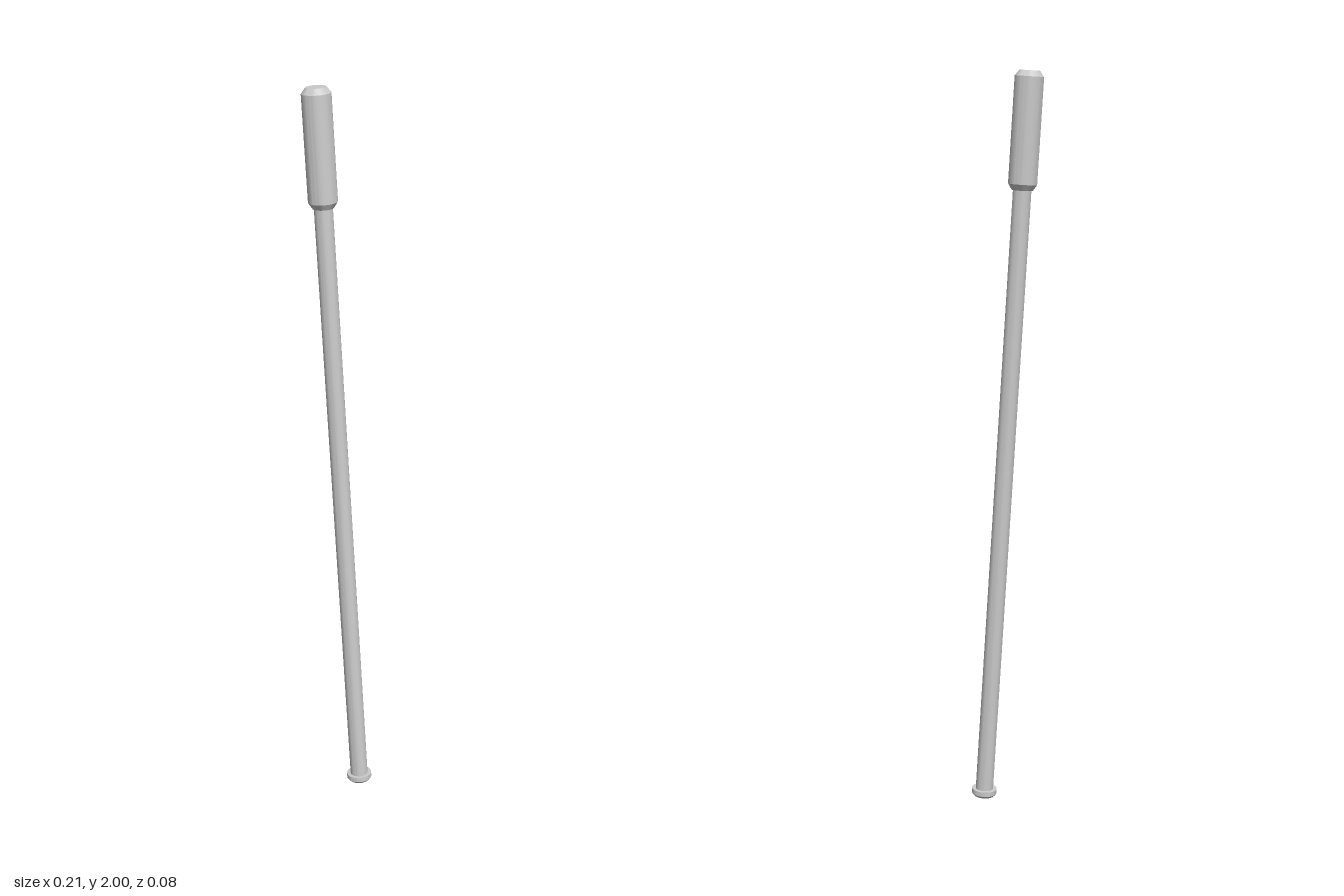
import * as THREE from 'three';
import { toCreasedNormals } from 'three/addons/utils/BufferGeometryUtils.js';

export function createModel() {
  const model = new THREE.Group();
  model.name = 'leaningStick';
  const material = new THREE.MeshStandardMaterial({ color: 0xcccccc });

  // All parts share one axis, which leans towards -x about its middle
  const stick = new THREE.Group();
  stick.name = 'stick';
  stick.position.y = 1;
  stick.rotation.z = Math.atan(0.067);
  model.add(stick);

  // Round part from [radius, height] pairs, bottom to top
  function turned(name, profile) {
    const points = profile.map(([r, y]) => new THREE.Vector2(r, y - 1));
    const geometry = toCreasedNormals(new THREE.LatheGeometry(points, 24), Math.PI / 7);
    const mesh = new THREE.Mesh(geometry, material);
    mesh.name = name;
    stick.add(mesh);
  }

  // Chamfered foot
  turned('foot', [[0, 0], [0.029, 0], [0.035, 0.007], [0.035, 0.02], [0, 0.02]]);

  // Long straight shaft
  turned('shaft', [[0, 0.018], [0.0245, 0.018], [0.0245, 1.72], [0, 1.72]]);

  // Thick grip, chamfered at both ends
  turned('grip', [
    [0, 1.692], [0.028, 1.692], [0.0385, 1.708],
    [0.0385, 1.985], [0.027, 2], [0, 2],
  ]);

  return model;
}
